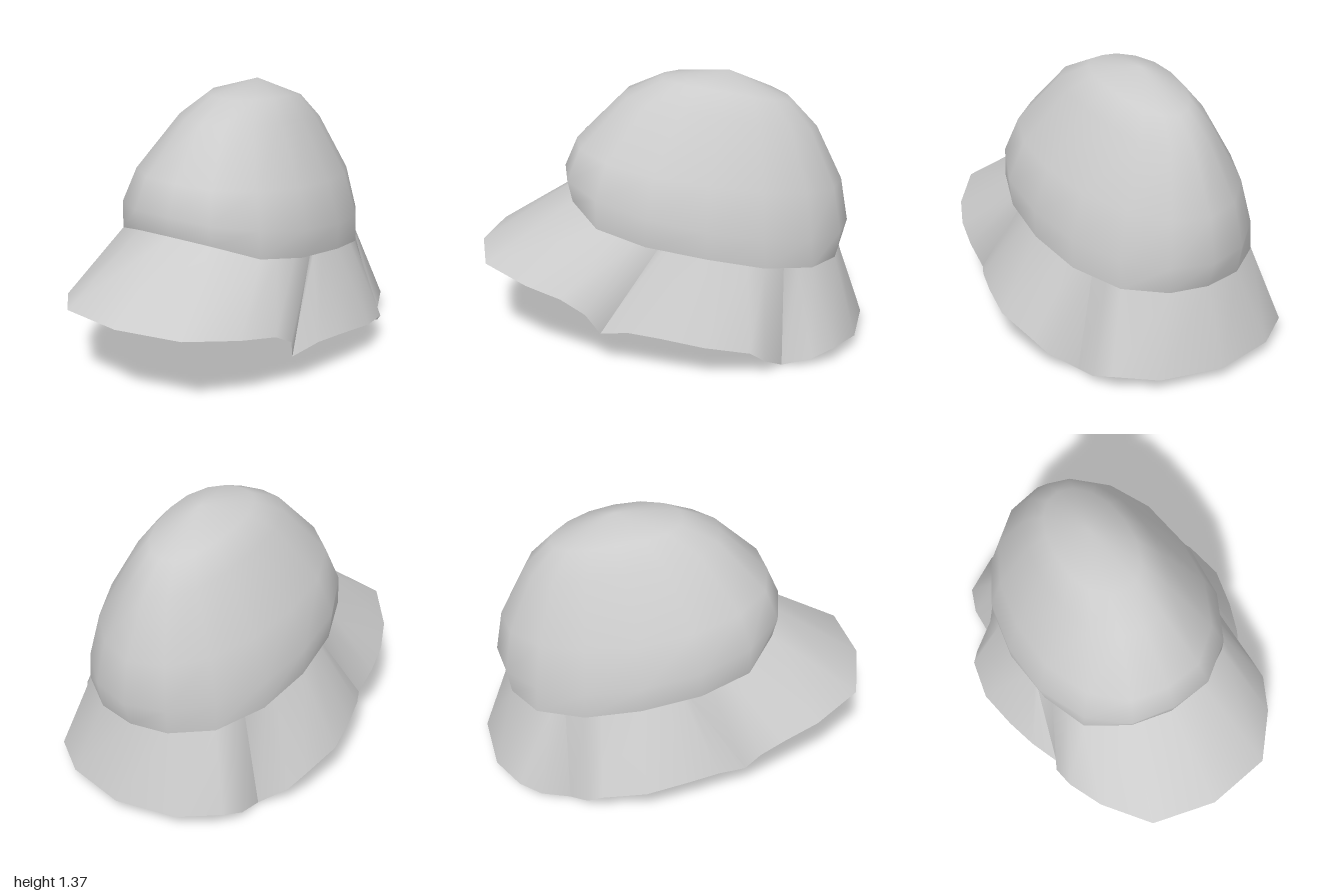
import * as THREE from 'three';

const material = new THREE.MeshStandardMaterial({ color: 0xcccccc, side: THREE.DoubleSide });

// Smooth surface through rows of points; each row runs to the right, rows run upward
function loft(name, rows, closed = false) {
  const n = rows[0].length;
  const index = [];
  for (let j = 0; j < rows.length - 1; j++) {
    for (let i = 0; i < (closed ? n : n - 1); i++) {
      const a = j * n + i, b = j * n + (i + 1) % n;
      index.push(a, b, b + n, a, b + n, a + n);
    }
  }
  return surface(name, rows.flat(), index);
}

function surface(name, points, index) {
  const geometry = new THREE.BufferGeometry();
  geometry.setAttribute('position', new THREE.Float32BufferAttribute(points.flat(), 3));
  geometry.setIndex(index);
  geometry.computeVertexNormals();
  const mesh = new THREE.Mesh(geometry, material);
  mesh.name = name;
  return mesh;
}

const flip = ([x, y, z]) => [-x, y, z];

// Left half of the head opening, from front to back
const rim = [
  [0, 0.755, 0.54], [0.21, 0.735, 0.5], [0.41, 0.665, 0.365], [0.505, 0.61, 0.12], [0.545, 0.565, -0.18],
  [0.505, 0.505, -0.46], [0.39, 0.465, -0.7], [0.2, 0.445, -0.83], [0, 0.44, -0.865],
];

// Point on the rim at a fractional index, so the brim stays flush with the crown
function rimAt(t) {
  const i = Math.min(Math.floor(t), rim.length - 2);
  return rim[i].map((v, k) => v + (rim[i + 1][k] - v) * (t - i));
}

// Crown: tilted oval rings given as front z, y; back z, y; half width; sag at the sides
function crown() {
  const rings = [
    [0.555, 0.86, -0.905, 0.575, 0.548, 0.015],
    [0.49, 1.01, -0.865, 0.8, 0.475, -0.01],
    [0.25, 1.25, -0.73, 1.08, 0.29, -0.035],
    [0.06, 1.335, -0.6, 1.22, 0.19, -0.025],
  ];
  const rows = [[...rim, ...rim.slice(1, -1).reverse().map(flip)]];
  for (const [fz, fy, bz, by, w, sag] of rings) {
    rows.push(rows[0].map((_, i) => {
      const a = i * Math.PI / 8, s = Math.sin(a), c = Math.cos(a);
      const full = 1 + 0.05 * Math.max(0, Math.sin(2 * a) * Math.sign(s));
      return [
        w * s * full,
        (fy + by) / 2 + (fy - by) / 2 * c - sag * s * s,
        (fz + bz) / 2 + (fz - bz) / 2 * c * full,
      ];
    }));
  }
  const points = rows.flat(), index = [];
  for (let j = 0; j < rows.length; j++) {
    for (let i = 0; i < 16; i++) {
      const a = j * 16 + i, b = j * 16 + (i + 1) % 16;
      if (j < rows.length - 1) index.push(a, b, b + 16, a, b + 16, a + 16);
      else index.push(a, b, points.length);
    }
  }
  points.push([0, 1.37, -0.28]);
  return surface('crown', points, index);
}

export function createModel() {
  const group = new THREE.Group();
  group.name = 'sunHat';
  group.add(crown());

  // Front visor, mirrored about its middle
  const visorEdge = [
    [0, 0.445, 1], [0.33, 0.44, 0.935], [0.51, 0.4, 0.71],
    [0.595, 0.367, 0.53], [0.612, 0.295, 0.41], [0.58, 0.18, 0.34],
  ];
  const visorTop = [0, 1, 2, 2.4, 2.8, 3.2].map(rimAt);
  const bothFront = row => [...row.slice(1).reverse().map(flip), ...row];
  group.add(loft('visor', [bothFront(visorEdge), bothFront(visorTop)]));

  // Side flaps, from the front pleat to the rear pleat
  const sideEdge = [
    [0.58, 0.18, 0.34], [0.65, 0.22, 0.2], [0.7, 0.215, 0.04], [0.742, 0.19, -0.17],
    [0.705, 0.145, -0.39], [0.655, 0.08, -0.465], [0.54, 0.003, -0.555],
  ];
  const sideTop = [3.2, 3.3, 3.55, 4, 4.7, 5, 5.4].map(rimAt);
  group.add(loft('leftSideFlap', [sideEdge, sideTop]));
  const mirrored = row => [...row].reverse().map(flip);
  group.add(loft('rightSideFlap', [mirrored(sideEdge), mirrored(sideTop)]));

  // Neck flap, mirrored about its middle
  const neckEdge = [
    [0.54, 0.003, -0.555], [0.545, 0.04, -0.7], [0.507, 0.08, -0.81], [0.32, 0.062, -0.935], [0, 0.055, -1],
  ];
  const neckTop = [5.4, 5.7, 6, 7, 8].map(rimAt);
  const bothBack = row => [...row, ...row.slice(0, -1).reverse().map(flip)];
  group.add(loft('neckFlap', [bothBack(neckEdge), bothBack(neckTop)]));

  return group;
}
